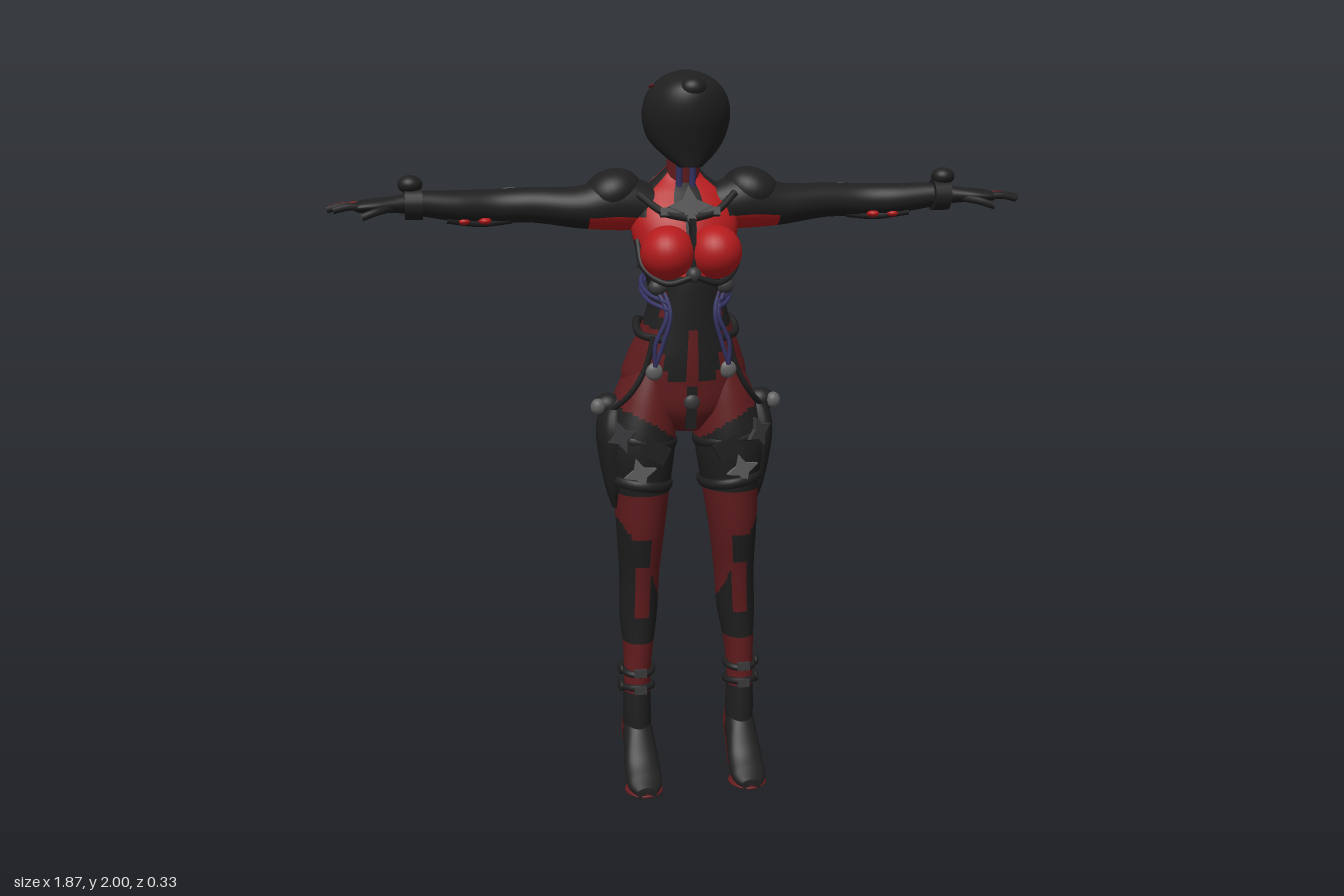
import * as THREE from 'three';

const mat = (name, color) => {
  const m = new THREE.MeshStandardMaterial({ color });
  m.name = name;
  return m;
};

export function createModel() {
  const root = new THREE.Group();
  root.name = 'armouredFigure';
  const black = mat('black', 0x1f1f1f), darkRed = mat('dark red', 0x621c1e), red = mat('bright red', 0xb51b1d);
  const steel = mat('steel', 0x38383a), grey = mat('grey', 0x606060), blue = mat('blue', 0x343262);
  const MATS = [black, darkRed, red];
  const K = 0, D = 1, R = 2;

  const add = (name, geo, m, x = 0, y = 0, z = 0, rx = 0, ry = 0, rz = 0) => {
    const mesh = new THREE.Mesh(geo, m);
    mesh.name = name;
    mesh.position.set(x, y, z);
    mesh.rotation.set(rx, ry, rz);
    root.add(mesh);
    return mesh;
  };
  const ball = (name, m, x, y, z, a, b, c, rx = 0, ry = 0, rz = 0) =>
    add(name, new THREE.SphereGeometry(1, 28, 20).scale(a, b, c), m, x, y, z, rx, ry, rz);
  const box = (name, m, x, y, z, w, h, d, rx = 0, ry = 0, rz = 0) =>
    add(name, new THREE.BoxGeometry(w, h, d), m, x, y, z, rx, ry, rz);
  const cyl = (name, m, x, y, z, r1, r2, h, rx = 0, ry = 0, rz = 0) =>
    add(name, new THREE.CylinderGeometry(r1, r2, h, 20), m, x, y, z, rx, ry, rz);
  const tube = (name, m, r, pts) => add(name, new THREE.TubeGeometry(
    new THREE.CatmullRomCurve3(pts.map(p => new THREE.Vector3(...p))), 28, r, 8), m);
  const both = fn => [1, -1].forEach(fn);

  // Four-pointed buckle plate
  const star = (name, m, x, y, z, r, rx = 0, ry = 0, rz = 0) => {
    const s = new THREE.Shape();
    for (let i = 0; i < 8; i++) {
      const q = i % 2 ? r * 0.45 : r, a = i * Math.PI / 4;
      s[i ? 'lineTo' : 'moveTo'](q * Math.cos(a), q * Math.sin(a));
    }
    return add(name, new THREE.ExtrudeGeometry(s, { depth: 0.012, bevelEnabled: false }), m, x, y, z, rx, ry, rz);
  };

  // Smooth loft through sections [t, cx, cz, rx, rz], t rising; pick(cos, sin, t) chooses the colour of each face
  const loft = (name, secs, pick, s = 1, seg = 64, sub = 10) => {
    const at = (i, k, f) => {
      const g = j => secs[Math.min(Math.max(j, 0), secs.length - 1)][k];
      const [a, b, c, d] = [g(i - 1), g(i), g(i + 1), g(i + 2)];
      return b + 0.5 * f * (c - a + f * (2 * a - 5 * b + 4 * c - d + f * (3 * (b - c) + d - a)));
    };
    const rows = [], pos = [], faces = [[], [], []];
    for (let i = 0; i < secs.length - 1; i++)
      for (let j = 0; j < sub; j++) rows.push([0, 1, 2, 3, 4].map(k => at(i, k, j / sub)));
    rows.push(secs[secs.length - 1]);
    rows.forEach(([t, cx, cz, rx, rz]) => {
      for (let k = 0; k < seg; k++) {
        const a = k / seg * Math.PI * 2;
        pos.push(cx + rx * Math.cos(a), t, cz + rz * Math.sin(a));
      }
    });
    const last = rows.length - 1, first = rows.length * seg;
    [rows[0], rows[last]].forEach(r => pos.push(r[1], r[0], r[2]));
    for (let i = 0; i <= last; i++)
      for (let k = 0; k < seg; k++) {
        const n = (k + 1) % seg, a = i * seg + k, b = i * seg + n, ang = (k + 0.5) / seg * Math.PI * 2;
        const t = i < last ? (rows[i][0] + rows[i + 1][0]) / 2 : rows[i][0];
        const f = faces[pick(s * Math.cos(ang), Math.sin(ang), t)];
        if (i < last) f.push(a, a + seg, b, b, a + seg, b + seg);
        if (i === 0) f.push(first, a, b);
        if (i === last) f.push(first + 1, b, a);
      }
    const geo = new THREE.BufferGeometry();
    geo.setAttribute('position', new THREE.Float32BufferAttribute(pos, 3));
    geo.setIndex(faces.flat());
    let start = 0;
    faces.forEach((f, i) => { if (f.length) geo.addGroup(start, f.length, i); start += f.length; });
    geo.computeVertexNormals();
    return add(name, geo, MATS);
  };

  // Torso suit: red ribs, black corset, dark red hips
  loft('torso', [
    [1.04, 0, -0.01, 0.05, 0.06], [1.1, 0, -0.01, 0.135, 0.1], [1.18, 0, -0.018, 0.172, 0.122],
    [1.25, 0, -0.006, 0.156, 0.118], [1.32, 0, 0.015, 0.127, 0.1], [1.4, 0, 0.027, 0.104, 0.093],
    [1.47, 0, 0.02, 0.112, 0.1], [1.55, 0, 0.002, 0.138, 0.103], [1.62, 0, -0.015, 0.145, 0.095],
    [1.68, 0, -0.035, 0.12, 0.07], [1.72, 0, -0.045, 0.07, 0.048], [1.75, 0, -0.04, 0.04, 0.04],
  ], (c, f, y) => {
    const o = Math.abs(c);
    if (y > 1.62) return (f > 0 ? o > 0.25 && o < 0.75 : o > 0.45) ? R : K;
    if (y > 1.47) return (f > 0 ? o < 0.08 : o < 0.3 || f > -0.2) ? K : R;
    if (f > 0 && o < 0.13 && y > 1.19 && y < 1.33) return D;
    if (f > 0 && o < 0.38 + (y - 1.19) * 1.8 && y > 1.19 && y < 1.36) return K;
    if (f > 0 && o > 0.6 && o < 0.8 && y > 1.36 && y < 1.43) return D;
    return y > 1.28 + 0.06 * o ? K : D;
  });
  both(s => {
    ball('breast', red, s * 0.062, 1.53, 0.084, 0.073, 0.072, 0.082, -0.15, s * 0.2);
    ball('buttock', darkRed, s * 0.075, 1.16, -0.052, 0.089, 0.112, 0.1);
    tube('bustTrim', black, 0.008, [[s * 0.005, 1.47, 0.13], [s * 0.07, 1.453, 0.12], [s * 0.125, 1.49, 0.07], [s * 0.135, 1.56, 0.03]]);
    tube('chestStrap', black, 0.01, [[s * 0.01, 1.62, 0.085], [s * 0.07, 1.635, 0.07], [s * 0.13, 1.68, 0.03]]);
    tube('backStrap', black, 0.014, [[s * 0.02, 1.6, -0.115], [s * 0.08, 1.66, -0.1], [s * 0.14, 1.69, -0.06]]);
    tube('lowerBackStrap', black, 0.012, [[s * 0.015, 1.58, -0.11], [s * 0.07, 1.52, -0.092], [s * 0.125, 1.47, -0.01]]);
    // Blue cables round the ribs and down the corset
    [0, 0.018].forEach(d => tube('ribCable', blue, 0.006, [[s * 0.065, 1.4 - d, 0.117], [s * 0.11, 1.42 - d, 0.05],
      [s * 0.114, 1.45 - d, -0.03], [s * 0.06, 1.49 - d, -0.09]]));
    [0, 0.02].forEach(d => tube('corsetCable', blue, 0.006,
      [[s * (0.1 - d), 1.45, 0.08], [s * (0.07 - d / 2), 1.37, 0.11], [s * (0.1 - d), 1.29, 0.107], [s * 0.1, 1.23, 0.1]]));
    tube('hipStrap', black, 0.011, [[s * 0.07, 1.3, 0.105], [s * 0.13, 1.31, 0.04], [s * 0.125, 1.34, -0.03], [s * 0.04, 1.28, -0.115]]);
    tube('garter', black, 0.008, [[s * 0.1, 1.31, 0.085], [s * 0.125, 1.22, 0.083], [s * 0.165, 1.15, 0.07], [s * 0.21, 1.1, 0.03]]);
    ball('hipBuckle', grey, s * 0.1, 1.215, 0.088, 0.024, 0.024, 0.014);
    ball('ribClip', steel, s * 0.09, 1.44, 0.085, 0.025, 0.022, 0.02);
    ball('backClip', grey, s * 0.05, 1.26, -0.12, 0.02, 0.018, 0.014);
  });
  star('chestBuckle', steel, 0, 1.645, 0.066, 0.06, -0.5);
  box('collarBar', steel, 0, 1.635, 0.072, 0.16, 0.022, 0.018, -0.4);
  box('sternumPlate', black, 0, 1.55, 0.1, 0.014, 0.14, 0.05);
  ball('sternumClip', steel, 0, 1.475, 0.12, 0.02, 0.022, 0.02);
  box('crotchStrap', black, 0, 1.115, 0.088, 0.028, 0.12, 0.02, 0.1);
  ball('crotchRing', steel, 0, 1.13, 0.098, 0.022, 0.022, 0.012);
  star('tailBuckle', steel, 0, 1.25, -0.133, 0.045);

  // Back pack
  box('spinePlate', black, 0, 1.545, -0.1, 0.045, 0.15, 0.025, 0.15);
  cyl('backRoll', black, 0, 1.665, -0.12, 0.036, 0.036, 0.13, 0, 0, Math.PI / 2);
  box('backUnit', steel, 0, 1.625, -0.125, 0.07, 0.07, 0.035, 0.3);
  both(s => ball('backKnob', steel, s * 0.05, 1.69, -0.138, 0.022, 0.026, 0.022));

  // Neck and helmet
  cyl('neck', darkRed, 0, 1.755, -0.025, 0.04, 0.048, 0.13, 0.2);
  both(s => tube('neckCable', blue, 0.009, [[s * 0.018, 1.69, 0.012], [s * 0.018, 1.74, 0.018], [s * 0.018, 1.8, 0.03]]));
  cyl('neckCollar', red, 0, 1.7, -0.04, 0.048, 0.068, 0.035, 0.15);
  box('nape', black, 0, 1.76, -0.07, 0.04, 0.1, 0.025, 0.15);
  loft('helmet', [
    [1.752, 0, 0.075, 0.03, 0.022], [1.785, 0, 0.046, 0.07, 0.06], [1.825, 0, 0.014, 0.102, 0.106],
    [1.88, 0, 0.014, 0.116, 0.124], [1.93, 0, 0.018, 0.108, 0.124], [1.965, 0, 0.024, 0.084, 0.104],
    [1.988, 0, 0.018, 0.052, 0.07], [2, 0, 0.01, 0.012, 0.016],
  ], () => K, 1, 48, 6);
  ball('browKnob', black, 0, 1.955, 0.112, 0.036, 0.028, 0.032);
  both(s => {
    tube('helmetStripe', darkRed, 0.004, [[s * 0.087, 1.962, 0.045], [s * 0.093, 1.958, 0.01], [s * 0.089, 1.955, -0.02]]);
    ball('helmetPatch', grey, s * 0.06, 1.89, -0.094, 0.034, 0.024, 0.006, 0, s * 2.6);
  });
  box('helmetPort', steel, 0, 1.83, -0.09, 0.05, 0.03, 0.035, 0.4);

  // Arms, shoulders and hands
  const armSecs = [
    [0.08, 1.64, -0.035, 0.06, 0.065], [0.18, 1.655, -0.035, 0.075, 0.072], [0.28, 1.643, -0.038, 0.056, 0.064],
    [0.4, 1.65, -0.05, 0.047, 0.052], [0.5, 1.648, -0.056, 0.045, 0.049], [0.6, 1.652, -0.035, 0.041, 0.046],
    [0.7, 1.662, -0.014, 0.032, 0.034], [0.76, 1.662, 0, 0.022, 0.032], [0.81, 1.66, 0.002, 0.019, 0.042],
    [0.85, 1.658, 0.002, 0.016, 0.042], [0.866, 1.656, 0.002, 0.008, 0.034],
  ];
  both(s => {
    const arm = loft('arm', armSecs.map(([t, y, ...r]) => [t, -s * y, ...r]),
      (c, f, t) => (t < 0.26 && c > 0.4 ? R : t > 0.8 && f < -0.3 ? D : K), s, 40);
    arm.geometry.rotateZ(-s * Math.PI / 2);
    ball('shoulderPad', black, s * 0.19, 1.68, -0.038, 0.08, 0.062, 0.078, 0, 0, s * -0.35);
    ball('elbowPad', grey, s * 0.46, 1.668, -0.1, 0.052, 0.026, 0.01, 0.3, s * 0.1, s * -0.1);
    cyl('wristCuff', black, s * 0.715, 1.662, -0.008, 0.042, 0.042, 0.045, 0, 0, Math.PI / 2);
    ball('wristKnob', black, s * 0.722, 1.712, -0.005, 0.032, 0.024, 0.03);
    tube('forearmBlade', black, 0.01, [[s * 0.46, 1.612, -0.04], [s * 0.54, 1.606, -0.03], [s * 0.63, 1.618, -0.015]]);
    [0.53, 0.585].forEach(x => ball('forearmLight', red, s * x, 1.613, -0.022, 0.017, 0.01, 0.018));
    [[-0.032, -0.06, 0.9], [-0.012, -0.025, 0.93], [0.01, 0.006, 0.935], [0.03, 0.038, 0.92]].forEach(([z0, z1, x], i) =>
      tube('finger', i < 2 ? darkRed : black, 0.009,
        [[s * 0.84, 1.657, z0], [s * (x - 0.04), 1.66, (z0 + z1) / 2], [s * x, 1.652, z1]]));
    tube('thumb', black, 0.01, [[s * 0.77, 1.655, 0.02], [s * 0.81, 1.648, 0.05], [s * 0.85, 1.635, 0.062]]);
  });

  // Legs; the stance sits slightly to one side
  const shift = y => 0.02 * Math.min(Math.max((1 - y) / 0.6, 0), 1);
  const legSecs = [
    [0.13, 0.15, -0.05, 0.038, 0.05], [0.2, 0.15, -0.05, 0.04, 0.052], [0.3, 0.15, -0.044, 0.037, 0.045],
    [0.4, 0.146, -0.05, 0.042, 0.057], [0.5, 0.141, -0.052, 0.053, 0.066], [0.62, 0.136, -0.038, 0.056, 0.073],
    [0.75, 0.131, -0.016, 0.066, 0.084], [0.87, 0.126, -0.008, 0.078, 0.094], [1, 0.127, 0.001, 0.098, 0.102],
    [1.12, 0.112, -0.012, 0.086, 0.105], [1.22, 0.095, -0.01, 0.06, 0.085],
  ];
  const footSecs = [
    [-0.112, 0.14, 0.022, 0.045], [-0.085, 0.14, 0.039, 0.075], [-0.04, 0.137, 0.042, 0.075], [0, 0.1, 0.046, 0.066],
    [0.045, 0.054, 0.05, 0.042], [0.085, 0.032, 0.048, 0.027], [0.118, 0.02, 0.028, 0.015],
  ];
  both(s => {
    const X = (x, y) => s * x + shift(y);
    loft('leg', legSecs.map(([y, x, ...r]) => [y, X(x, y), ...r]), (c, f, y) => {
      if (y > 0.87) return y < 1.05 + 0.05 * c + 0.03 * f ? K : D;
      if (y > 0.42) {
        if (f > 0.93 && y > 0.5 && y < 0.66) return D;
        if (f > 0.75 && c > -0.3 && y > 0.64 && y < 0.74) return K;
        // Black outer panel widening until it wraps the calf
        return c + 0.15 * f > 1 - (0.79 - y) * 8 ? K : D;
      }
      return y > 0.27 || f < -0.15 ? D : K;
    }, s, 64, 14);

    // High-heeled boot
    const boot = loft('boot', footSecs.map(([z, y, rx, ry]) => [z, X(0.15, 0), -y, rx, ry]),
      (c, f, z) => (z < -0.045 || f > 0.75 ? D : K), 1, 36);
    boot.geometry.rotateX(Math.PI / 2);
    cyl('heel', darkRed, X(0.15, 0), 0.055, -0.082, 0.036, 0.024, 0.11);
    ball('sole', darkRed, X(0.15, 0), 0.01, 0.06, 0.054, 0.01, 0.062);
    [0.285, 0.335].forEach((y, i) => {
      add('ankleStrap', new THREE.TorusGeometry(0.042, 0.009, 8, 28).scale(1, 1.15, 1.1), black,
        X(0.149, y), y, -0.044, Math.PI / 2 + (i ? 0.12 : -0.1));
      box('ankleBuckle', steel, X(0.149, y), y, 0.008, 0.035, 0.022, 0.014);
      ball('ankleLoop', black, X(0.195, y), y, -0.05, 0.01, 0.017, 0.028);
    });

    // Thigh holster, straps and hip joint
    loft('holster', [
      [0.825, s * 0.196, 0, 0.008, 0.012], [0.9, s * 0.2, -0.002, 0.026, 0.05], [1.02, s * 0.207, -0.004, 0.037, 0.078],
      [1.09, s * 0.203, -0.004, 0.032, 0.06], [1.13, s * 0.19, -0.004, 0.01, 0.025],
    ], () => K, 1, 20);
    ball('hipJoint', black, s * 0.212, 1.11, -0.002, 0.04, 0.034, 0.034);
    ball('hipCap', grey, s * 0.243, 1.112, 0.022, 0.02, 0.022, 0.018);
    [0.9, 1.02].forEach(y => add('thighStrap',
      new THREE.TorusGeometry(0.094, 0.008, 8, 40).scale(y < 1 ? 0.9 : 1.04, 1.04, 1.8), black,
      s * 0.127, y, -0.002, Math.PI / 2, s * 0.15));
    star('thighBuckle', grey, s * 0.14, 0.94, 0.09, 0.045, 0.1, s * 0.1, 0.3);
    star('upperThighBuckle', steel, s * 0.185, 1.04, 0.083, 0.045, 0, s * 0.6, 0.4);
    box('thighPouch', black, s * 0.1, 1.0, 0.1, 0.07, 0.05, 0.02, 0, 0, s * 0.5);
  });
  return root;
}
